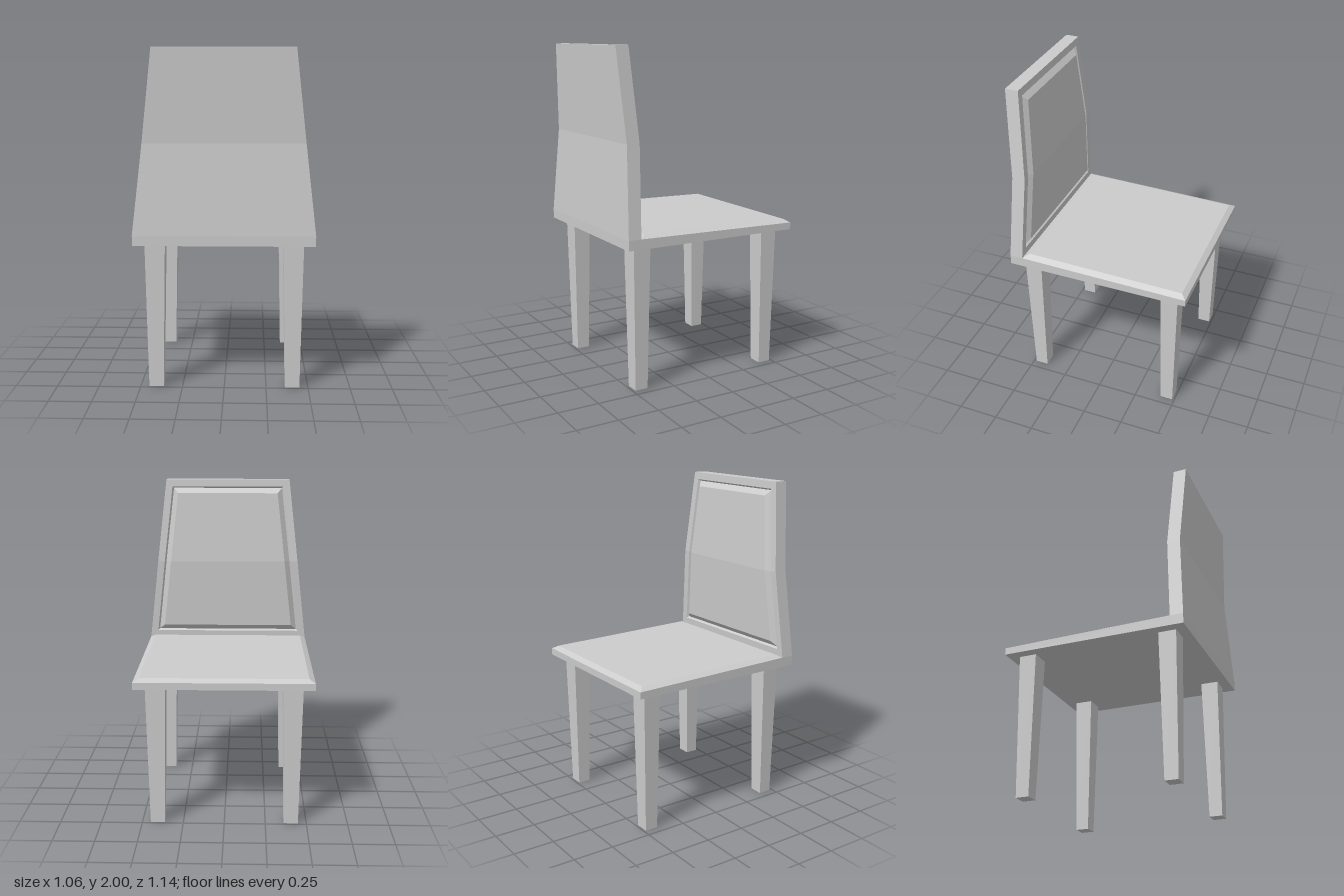
import * as THREE from 'three';

const material = new THREE.MeshStandardMaterial({ color: 0xcccccc, flatShading: true });

// Faceted skin through matching loops of [x, y, z], closed at both ends.
// Loops run counter-clockwise around the direction of travel.
function loft(name, rings) {
  const pos = [];
  const quad = (a, b, c, d) => pos.push(...a, ...b, ...c, ...a, ...c, ...d);
  const n = rings[0].length;
  for (let k = 0; k < rings.length - 1; k++) {
    for (let i = 0; i < n; i++) {
      const j = (i + 1) % n;
      quad(rings[k][i], rings[k][j], rings[k + 1][j], rings[k + 1][i]);
    }
  }
  // Caps are strips across the loop, so a folded face keeps its crease
  const first = rings[0], last = rings[rings.length - 1];
  for (let i = 0; i < n / 2 - 1; i++) {
    quad(last[i], last[i + 1], last[n - 2 - i], last[n - 1 - i]);
    quad(first[n - 1 - i], first[n - 2 - i], first[i + 1], first[i]);
  }
  const geometry = new THREE.BufferGeometry();
  geometry.setAttribute('position', new THREE.Float32BufferAttribute(pos, 3));
  geometry.computeVertexNormals();
  const mesh = new THREE.Mesh(geometry, material);
  mesh.name = name;
  return mesh;
}

// Horizontal rectangle whose height may differ at its two z ends
const rect = (hx, zMin, zMax, yMin, yMax = yMin) => [
  [-hx, yMax, zMax], [hx, yMax, zMax], [hx, yMin, zMin], [-hx, yMin, zMin],
];

// Bent backrest: half width and front depth by height
const LOW = 0.93, BEND = 1.46, TOP = 2;
const halfWidth = (y) => THREE.MathUtils.mapLinear(y, LOW, TOP, 0.53, 0.408);
const frontZ = (y) => y < BEND
  ? THREE.MathUtils.mapLinear(y, LOW, BEND, 0.482, 0.457)
  : THREE.MathUtils.mapLinear(y, BEND, TOP, 0.457, 0.49);

// Outline of the backrest, shrunk by inset and pushed back by depth
function backRing(inset, depth) {
  const levels = [LOW + inset, BEND, TOP - inset];
  const side = (s) => levels.map((y) => [s * (halfWidth(y) - inset), y, frontZ(y) + depth]);
  return [...side(-1), ...side(1).reverse()];
}

export function createModel() {
  const chair = new THREE.Group();
  chair.name = 'chair';

  // Seat slab with a chamfered, slightly sloping top
  chair.add(loft('seat', [
    rect(0.53, -0.567, 0.482, 0.87),
    rect(0.53, -0.567, 0.482, 0.912, 0.93),
    rect(0.495, -0.535, 0.447, 0.932, 0.95),
  ]));

  // Rail under the backrest
  const rail = new THREE.Mesh(new THREE.BoxGeometry(1.06, LOW - 0.87, 0.08), material);
  rail.name = 'backRail';
  rail.position.set(0, (LOW + 0.87) / 2, 0.522);
  chair.add(rail);

  // Backrest: frame, groove and raised bevelled panel
  chair.add(loft('backrest', [
    backRing(0, 0.08),
    backRing(0, 0),
    backRing(0.045, 0),
    backRing(0.055, 0.015),
    backRing(0.088, -0.013),
  ]));

  // Four tapered legs
  for (const [zName, z] of [['front', -0.447], ['back', 0.443]]) {
    for (const [xName, x] of [['Left', 0.406], ['Right', -0.406]]) {
      const leg = loft(`${zName}${xName}Leg`, [
        rect(0.043, -0.04, 0.04, 0),
        rect(0.06, -0.054, 0.054, 0.87),
      ]);
      leg.position.set(x, 0, z);
      chair.add(leg);
    }
  }
  return chair;
}
